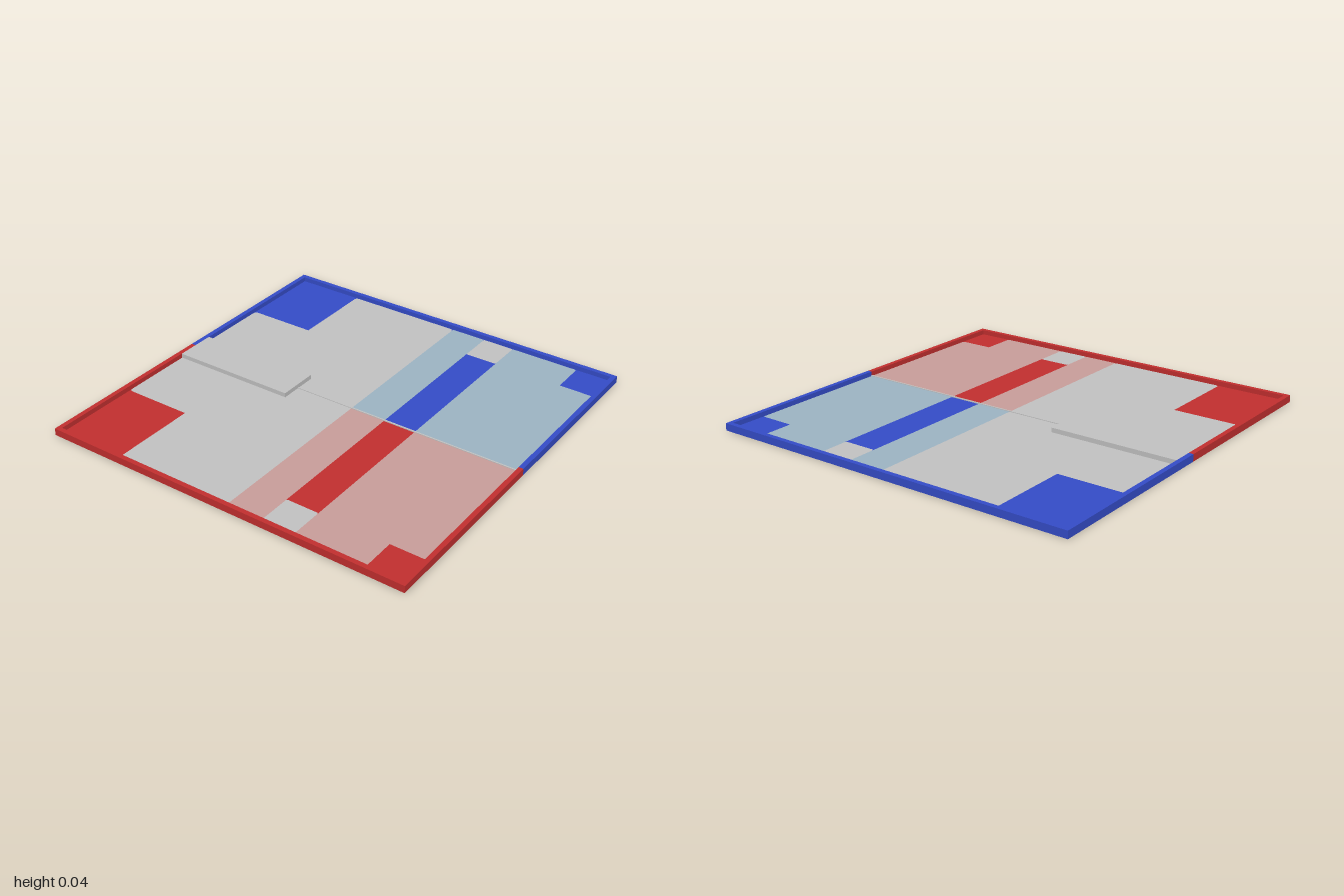
import * as THREE from 'three';

const RIM = 0.025;      // wall thickness
const HEIGHT = 0.038;   // wall height
const FLOOR = 0.013;    // top of the coloured floor
const TILE = 0.0145;    // top of the floor tiles

const mat = (name, color) => {
  const m = new THREE.MeshStandardMaterial({ color });
  m.name = name;
  return m;
};

// Flat outline from [x, z, cornerRadius] points, laid down facing up
function flatTile(points) {
  const v = points.map(([x, z]) => new THREE.Vector2(x, -z));
  const shape = new THREE.Shape();
  points.forEach(([, , r = 0], i) => {
    const p = v[i];
    const prev = v[(i + v.length - 1) % v.length];
    const next = v[(i + 1) % v.length];
    const a = p.clone().add(prev.clone().sub(p).setLength(r));
    const b = p.clone().add(next.clone().sub(p).setLength(r));
    if (i === 0) shape.moveTo(a.x, a.y);
    else shape.lineTo(a.x, a.y);
    if (r > 0) shape.quadraticCurveTo(p.x, p.y, b.x, b.y);
  });
  shape.closePath();
  return new THREE.ShapeGeometry(shape, 5).rotateX(-Math.PI / 2);
}

export function createModel() {
  const group = new THREE.Group();
  const grey = mat('grey', 0xc2c2c2);
  const sides = [
    { s: -1, name: 'red', solid: mat('red', 0xc22f2f), tint: mat('pale red', 0xc99e9b) },
    { s: 1, name: 'blue', solid: mat('blue', 0x354cc8), tint: mat('pale blue', 0x9db4c4) },
  ];

  const add = (name, geometry, material, x = 0, y = 0, z = 0) => {
    const mesh = new THREE.Mesh(geometry, material);
    mesh.name = name;
    mesh.position.set(x, y, z);
    group.add(mesh);
  };
  // Box given by its extents
  const box = (name, material, x0, x1, y0, y1, z0, z1) =>
    add(name, new THREE.BoxGeometry(Math.abs(x1 - x0), y1 - y0, z1 - z0), material,
      (x0 + x1) / 2, (y0 + y1) / 2, (z0 + z1) / 2);

  // Underside
  add('underside', new THREE.PlaneGeometry(2, 2).rotateX(Math.PI / 2), grey);

  const r = 0.02;
  const inner = 1 - RIM;
  for (const { s, name, solid, tint } of sides) {
    // Walls and floor of one half
    const y0 = 0.0005;
    box(`${name}SideWall`, solid, s * inner, s, y0, HEIGHT, -1, 1);
    box(`${name}BackWall`, solid, 0, s * inner, y0, HEIGHT, -1, -inner);
    box(`${name}FrontWall`, solid, 0, s * inner, y0, HEIGHT, inner, 1);
    box(`${name}Floor`, solid, 0, s * inner, y0, FLOOR, -inner, inner);

    // Pale strip behind the solid bar
    add(`${name}PaleStrip`, flatTile([
      [0, 0.04], [s * 0.972, 0.04], [s * 0.972, 0.235], [0, 0.235],
    ]), tint, 0, TILE, 0);

    // Pale front area, notched at the outer corner
    add(`${name}PaleFront`, flatTile([
      [0, 0.41], [s * 0.972, 0.41], [s * 0.972, 0.785, 0.012],
      [s * 0.785, 0.785], [s * 0.785, 0.972, 0.012], [0, 0.972],
    ]), tint, 0, TILE, 0);

    // Small grey square at the end of the bar
    add(`${name}EndSquare`, flatTile([
      [s * 0.785, 0.235, 0.01], [s * 0.972, 0.235, 0.01],
      [s * 0.972, 0.41, 0.01], [s * 0.785, 0.41, 0.01],
    ]), grey, 0, TILE, 0);

    // Grey back area, half of a wide stepped shape
    add(`${name}GreyBack`, flatTile([
      [0, -0.974], [s * 0.51, -0.974, r], [s * 0.51, -0.605],
      [s * 0.972, -0.605, r], [s * 0.972, 0.04, r], [0, 0.04],
    ]), grey, 0, TILE, 0);
  }

  // Thin centre divider and raised block
  box('centreDivider', grey, -0.004, 0.004, FLOOR, 0.018, -0.29, inner);
  box('raisedBlock', grey, -0.11, 0.11, FLOOR, HEIGHT, -inner, -0.29);

  return group;
}
